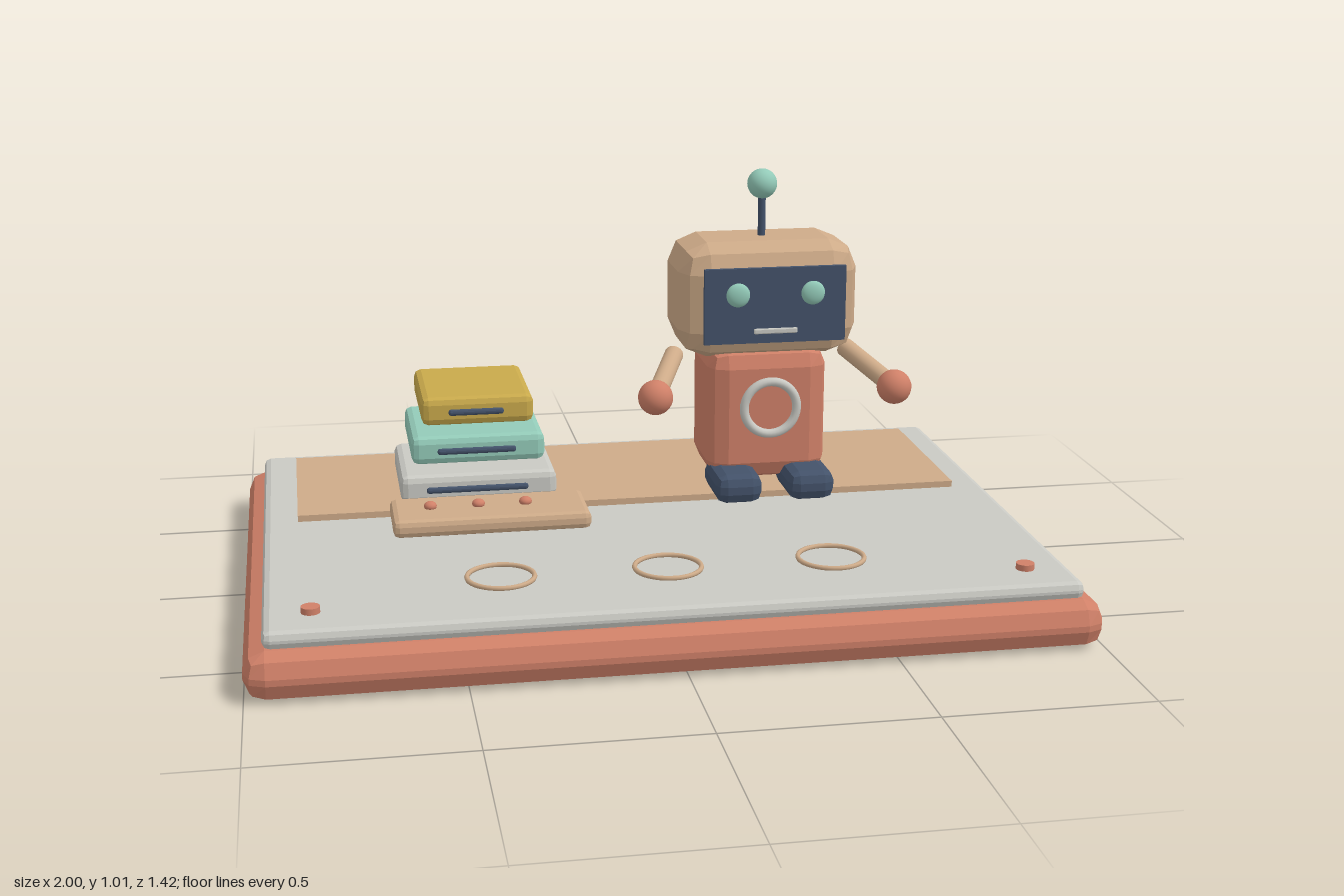
import * as THREE from 'three';
import { RoundedBoxGeometry } from 'three/addons/geometries/RoundedBoxGeometry.js';

const paint = (name, color) => Object.assign(new THREE.MeshStandardMaterial({ color }), { name });

export function createModel() {
  const salmon = paint('salmon', 0xcf8068);
  const tan = paint('tan', 0xcdaa88);
  const grey = paint('light grey', 0xc9c9c3);
  const mint = paint('mint', 0x93cab8);
  const mustard = paint('mustard', 0xc8a94b);
  const navy = paint('navy', 0x43526a);

  const model = new THREE.Group();
  model.name = 'robotDesk';

  const add = (parent, name, geometry, material, x, y, z) => {
    const mesh = new THREE.Mesh(geometry, material);
    mesh.name = name;
    mesh.position.set(x, y, z);
    parent.add(mesh);
    return mesh;
  };
  // Faceted block with chamfered edges
  const block = (w, h, d, r) => {
    const g = new RoundedBoxGeometry(w, h, d, 1, r);
    g.computeVertexNormals();
    return g;
  };
  const ball = (r) => new THREE.SphereGeometry(r, 24, 16);
  const group = (name) => {
    const g = new THREE.Group();
    g.name = name;
    model.add(g);
    return g;
  };

  // Platform
  const platform = group('platform');
  add(platform, 'base', block(2, 0.115, 1.42, 0.05), salmon, 0, 0.0575, 0);
  add(platform, 'deskPlate', block(1.91, 0.043, 1.33, 0.018), grey, 0, 0.1345, 0);
  add(platform, 'mat', new THREE.BoxGeometry(1.735, 0.017, 0.5), tan, 0, 0.164, -0.335);
  for (const x of [-0.4, 0, 0.4]) {
    const ring = add(platform, 'floorRing', new THREE.TorusGeometry(0.08, 0.006, 8, 40), tan, x, 0.167, 0.42);
    ring.rotation.x = Math.PI / 2;
  }
  for (const x of [-0.845, 0.845]) {
    add(platform, 'cornerStud', new THREE.CylinderGeometry(0.022, 0.022, 0.016, 20), salmon, x, 0.163, 0.548);
  }

  // Stack of three books with label strips
  const books = group('bookStack');
  [
    [0.4, 0.235, grey, 0.26],
    [0.34, 0.337, mint, 0.2],
    [0.285, 0.439, mustard, 0.14],
  ].forEach(([w, y, material, label]) => {
    add(books, 'book', block(w, 0.073, 0.32, 0.018), material, -0.405, y, -0.207);
    add(books, 'bookLabel', block(label, 0.016, 0.014, 0.006), navy, -0.41, y, -0.043);
  });

  // Control tray with three buttons
  const tray = group('controlTray');
  add(tray, 'trayBody', block(0.49, 0.045, 0.195, 0.015), tan, -0.392, 0.209, 0.084);
  for (const x of [-0.54, -0.42, -0.302]) {
    add(tray, 'button', ball(0.016), salmon, x, 0.237, 0.083).scale.y = 0.75;
  }

  // Robot, mirrored about its own centre line
  const robot = group('robot');
  robot.position.set(0.361, 0, -0.208);
  add(robot, 'body', block(0.316, 0.355, 0.265, 0.05), salmon, 0, 0.38, -0.005);
  add(robot, 'head', block(0.472, 0.302, 0.297, 0.075), tan, 0, 0.686, 0);
  add(robot, 'screen', new THREE.BoxGeometry(0.37, 0.196, 0.013), navy, 0, 0.687, 0.166);
  add(robot, 'mouth', block(0.114, 0.014, 0.009, 0.003), grey, 0, 0.622, 0.18);
  add(robot, 'chestRing', new THREE.TorusGeometry(0.07, 0.012, 10, 40), grey, 0, 0.405, 0.137);
  add(robot, 'antennaRod', new THREE.CylinderGeometry(0.01, 0.01, 0.12, 16), navy, 0, 0.885, 0);
  add(robot, 'antennaBall', ball(0.039), mint, 0, 0.973, 0);

  for (const side of [-1, 1]) {
    add(robot, 'eye', ball(0.031), mint, side * 0.098, 0.717, 0.174).scale.z = 0.45;
    add(robot, 'foot', block(0.122, 0.077, 0.197, 0.028), navy, side * 0.096, 0.21, 0.13);

    const shoulder = new THREE.Vector3(side * 0.232, 0.526, 0.005);
    const wrist = new THREE.Vector3(side * 0.315, 0.463, 0.194);
    const reach = wrist.clone().sub(shoulder);
    const arm = add(robot, 'arm', new THREE.CylinderGeometry(0.025, 0.025, reach.length(), 20), tan,
      ...shoulder.clone().add(wrist).multiplyScalar(0.5).toArray());
    arm.quaternion.setFromUnitVectors(new THREE.Vector3(0, 1, 0), reach.normalize());
    add(robot, 'hand', ball(0.045), salmon, ...wrist.toArray());
  }

  return model;
}
